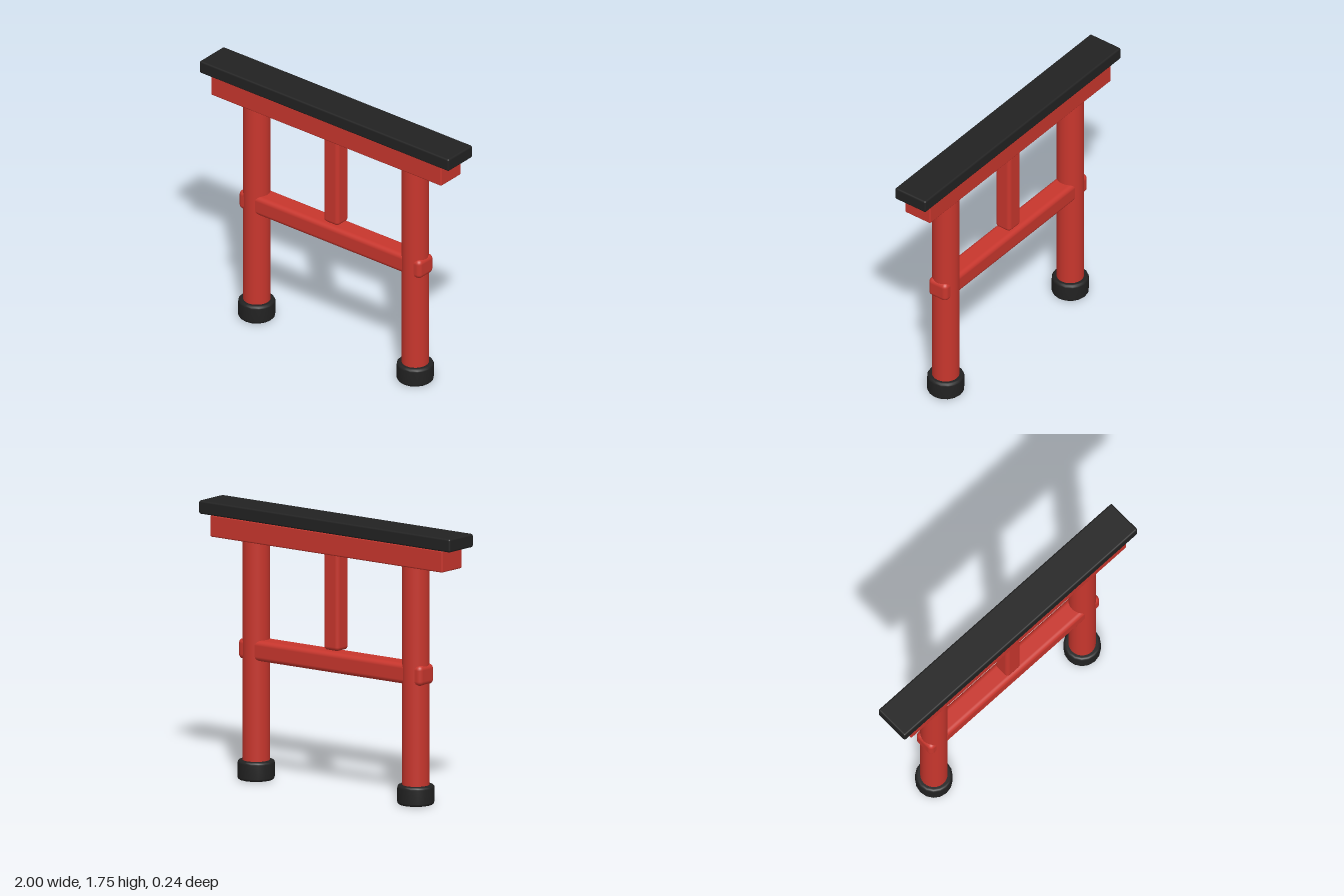
import * as THREE from 'three';
import { RoundedBoxGeometry } from 'three/addons/geometries/RoundedBoxGeometry.js';

export function createModel() {
  const gate = new THREE.Group();
  gate.name = 'gate';

  const red = new THREE.MeshStandardMaterial({ color: 0xc8362d });
  red.name = 'vermilion';
  const black = new THREE.MeshStandardMaterial({ color: 0x222222 });
  black.name = 'black';

  function add(name, geometry, material, x = 0, y = 0) {
    const mesh = new THREE.Mesh(geometry, material);
    mesh.name = name;
    mesh.position.set(x, y, 0);
    gate.add(mesh);
  }

  // Horizontal or vertical timber with softened edges, spanning y0 to y1
  function timber(name, width, y0, y1, depth, radius, material) {
    add(name, new RoundedBoxGeometry(width, y1 - y0, depth, 3, radius), material, 0, (y0 + y1) / 2);
  }

  // Round drum with bevelled rims, standing on y = 0
  function drum(radius, height, bevel) {
    const points = [new THREE.Vector2(0, 0)];
    for (let i = 0; i <= 3; i++) {
      const a = (i / 3) * Math.PI / 2;
      points.push(new THREE.Vector2(radius - bevel + bevel * Math.sin(a), bevel - bevel * Math.cos(a)));
    }
    for (let i = 0; i <= 3; i++) {
      const a = (i / 3) * Math.PI / 2;
      points.push(new THREE.Vector2(radius - bevel + bevel * Math.cos(a), height - bevel + bevel * Math.sin(a)));
    }
    points.push(new THREE.Vector2(0, height));
    return new THREE.LatheGeometry(points, 16);
  }

  // Pillars and their feet
  for (const [side, x] of [['left', 0.636], ['right', -0.636]]) {
    add(side + 'Pillar', new THREE.CylinderGeometry(0.086, 0.086, 1.5, 24), red, x, 0.8);
    add(side + 'Foot', drum(0.117, 0.125, 0.018), black, x);
  }

  // Crossbeams, from the top down
  timber('topBeam', 2, 1.66, 1.745, 0.24, 0.012, black);
  timber('lintel', 1.85, 1.52, 1.66, 0.2, 0.01, red);
  timber('tieBeam', 1.46, 0.765, 0.895, 0.145, 0.03, red);

  // Centre strut between lintel and tie beam
  timber('centreStrut', 0.12, 0.903, 1.55, 0.115, 0.025, red);

  return gate;
}
